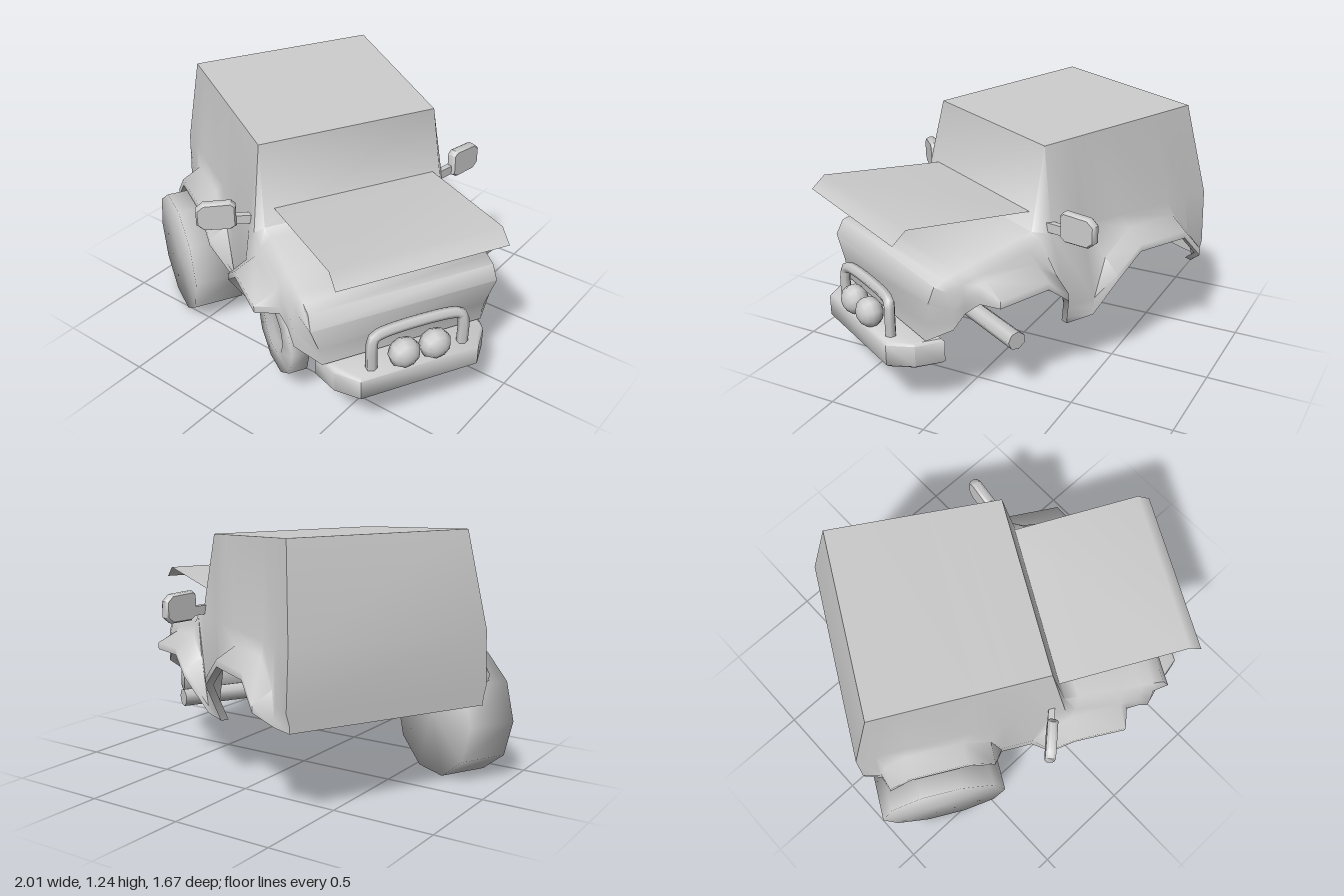
import * as THREE from 'three';
import { mergeGeometries, mergeVertices, toCreasedNormals } from 'three/addons/utils/BufferGeometryUtils.js';

const grey = new THREE.MeshStandardMaterial({ color: 0xcccccc, side: THREE.DoubleSide });

// Surface through a grid of points: rows of [x, y, z]
function loft(rows) {
  const n = rows[0].length, index = [];
  for (let i = 0; i < rows.length - 1; i++) {
    for (let j = 0; j < n - 1; j++) {
      const a = i * n + j, b = a + n;
      index.push(a, b, a + 1, b, b + 1, a + 1);
    }
  }
  const g = new THREE.BufferGeometry();
  g.setAttribute('position', new THREE.Float32BufferAttribute(rows.flat(2), 3));
  g.setIndex(index);
  g.computeVertexNormals();
  return g;
}

// Lower edge of the body side from back to front: [z, x, y], rising over the flared wheel arches
const hem = [
  [-0.775, 0.505, 0.42], [-0.69, 0.535, 0.43], [-0.66, 0.625, 0.5], [-0.55, 0.625, 0.62],
  [-0.27, 0.625, 0.62], [-0.13, 0.625, 0.5], [-0.07, 0.525, 0.3], [0.09, 0.525, 0.3],
  [0.155, 0.625, 0.48], [0.27, 0.625, 0.57], [0.53, 0.625, 0.55], [0.57, 0.52, 0.54],
  [0.64, 0.51, 0.51], [0.7, 0.505, 0.445], [0.785, 0.405, 0.37],
];
// Bonnet edge and shoulder below it, for the stations ahead of the cabin
const bonnet = [
  [[0.46, 0.79, 0.25], [0.51, 0.77, 0.24]],
  [[0.46, 0.775, 0.32], [0.505, 0.72, 0.3]],
  [[0.46, 0.72, 0.53], [0.495, 0.67, 0.53]],
  [[0.46, 0.71, 0.57], [0.49, 0.66, 0.57]],
  [[0.46, 0.69, 0.65], [0.485, 0.64, 0.64]],
  [[0.46, 0.675, 0.71], [0.485, 0.62, 0.71]],
  [[0.46, 0.655, 0.765], [0.465, 0.585, 0.8]],
];
const cabinStations = 8;

function halfSection([z, x, y], i) {
  const t = Math.min(1, (z + 0.775) / 0.865);
  const [top, belt] = i < cabinStations
    ? [[0.465 - 0.02 * t, 1.235 - 0.055 * t, -0.67 + 0.84 * t], [0.51, 0.78, -0.775 + 0.95 * t]]
    : bonnet[i - cabinStations];
  return [
    top, belt,
    [Math.min(belt[0] + 0.02, x + 0.015), y + 0.09, z],
    [x, y + 0.035, z],
    [x, y, z],
    [x - 0.04, y, z],
  ];
}

function bodyGeometry() {
  const mirror = ([x, y, z]) => [-x, y, z];
  const halves = hem.map(halfSection);
  const skin = halves.map((h) => [...h.map(mirror).reverse(), ...h]);
  const cap = (h) => h.slice(0, 5).map((p) => [mirror(p), p]);
  const g = mergeVertices(mergeGeometries([
    loft(skin),
    loft(cap(halves[halves.length - 1])),
    loft(cap(halves[0]).reverse()),
  ].map((part) => part.deleteAttribute('normal'))));
  return toCreasedNormals(g, 1.2);
}

// Ten-sided wheel turned about the x axis; profile holds [radius, distance to the right]
function wheelGeometry(profile) {
  return new THREE.LatheGeometry(profile.map(([r, d]) => new THREE.Vector2(r, d)), 10).rotateZ(Math.PI / 2);
}

export function createModel() {
  const root = new THREE.Group();
  root.name = 'offRoader';
  const car = new THREE.Group();
  car.name = 'car';
  car.rotation.y = 1.072;
  car.position.set(-0.017, 0, 0.032);
  root.add(car);

  const add = (name, geometry, x = 0, y = 0, z = 0, parent = car) => {
    const mesh = new THREE.Mesh(geometry, grey);
    mesh.name = name;
    mesh.position.set(x, y, z);
    parent.add(mesh);
    return mesh;
  };

  add('body', bodyGeometry());

  // Thin bent panel floating above the bonnet
  const panel = [[0.87, 0.208], [0.933, 0.865], [0.875, 0.933]].map(([y, z]) => [[-0.405, y, z], [0.42, y, z]]);
  add('bonnetPanel', loft(panel));

  // Wheels, on the right side only, and the bare front axle
  add('rearWheel', wheelGeometry([
    [0, 0.465], [0.318, 0.465], [0.318, 0.72], [0, 0.72],
  ]), 0, 0.302, -0.42);
  add('frontWheel', wheelGeometry([
    [0, 0.42], [0.13, 0.4], [0.226, 0.395], [0.226, 0.485], [0.12, 0.49], [0.1, 0.46], [0, 0.465],
  ]), 0, 0.308, 0.39);
  const axle = new THREE.CylinderGeometry(0.046, 0.046, 0.95, 7).rotateZ(Math.PI / 2);
  add('frontAxle', toCreasedNormals(axle, 1), 0.07, 0.31, 0.39);

  // Front bumper with swept corners
  const outline = new THREE.Shape([
    [-0.4, 0.71], [0.4, 0.71], [0.37, 0.83], [0.29, 0.925], [-0.29, 0.925], [-0.37, 0.83],
  ].map(([x, z]) => new THREE.Vector2(x, z)));
  const bumper = new THREE.ExtrudeGeometry(outline, {
    depth: 0.1, bevelEnabled: true, bevelThickness: 0.012, bevelSize: 0.012, bevelSegments: 1,
  }).rotateX(Math.PI / 2);
  add('bumper', toCreasedNormals(bumper, 0.8), 0.01, 0.35, 0);

  // Bull bar
  const bar = new THREE.CatmullRomCurve3([
    [-0.23, 0.35, 0.87], [-0.23, 0.48, 0.87], [-0.22, 0.52, 0.865], [-0.175, 0.535, 0.86],
    [0.175, 0.535, 0.86], [0.22, 0.52, 0.865], [0.23, 0.48, 0.87], [0.23, 0.35, 0.87],
  ].map((p) => new THREE.Vector3(...p)), false, 'centripetal');
  add('bullBar', new THREE.TubeGeometry(bar, 32, 0.027, 6), 0.02, 0, 0.01);

  // Lamps and mirrors on both sides
  const mirrorShape = new THREE.Shape([
    [0, 0.02], [0.03, 0], [0.15, 0], [0.185, 0.03], [0.185, 0.11], [0.15, 0.14], [0.02, 0.145], [0, 0.125],
  ].map(([x, y]) => new THREE.Vector2(x, y)));
  const mirrorGeometry = toCreasedNormals(new THREE.ExtrudeGeometry(mirrorShape, {
    depth: 0.025, bevelEnabled: true, bevelThickness: 0.012, bevelSize: 0.008, bevelOffset: -0.008, bevelSegments: 1,
  }), 0.8);
  for (const [side, s] of [['left', 1], ['right', -1]]) {
    const lamp = add(side + 'Lamp', new THREE.SphereGeometry(0.078, 9, 7).rotateX(Math.PI / 2), 0.016 + s * 0.077, 0.42, 0.905);
    lamp.scale.set(1, 0.95, 0.8);

    const wing = new THREE.Group();
    wing.name = side + 'Mirror';
    wing.scale.x = s;
    car.add(wing);
    add('mirrorHousing', mirrorGeometry, 0.56, 0.766, 0.145, wing).rotation.y = 0.33;
    add('mirrorStalk', new THREE.BoxGeometry(0.1, 0.045, 0.03), 0.535, 0.81, 0.16, wing).rotation.y = 0.33;
  }
  return root;
}
